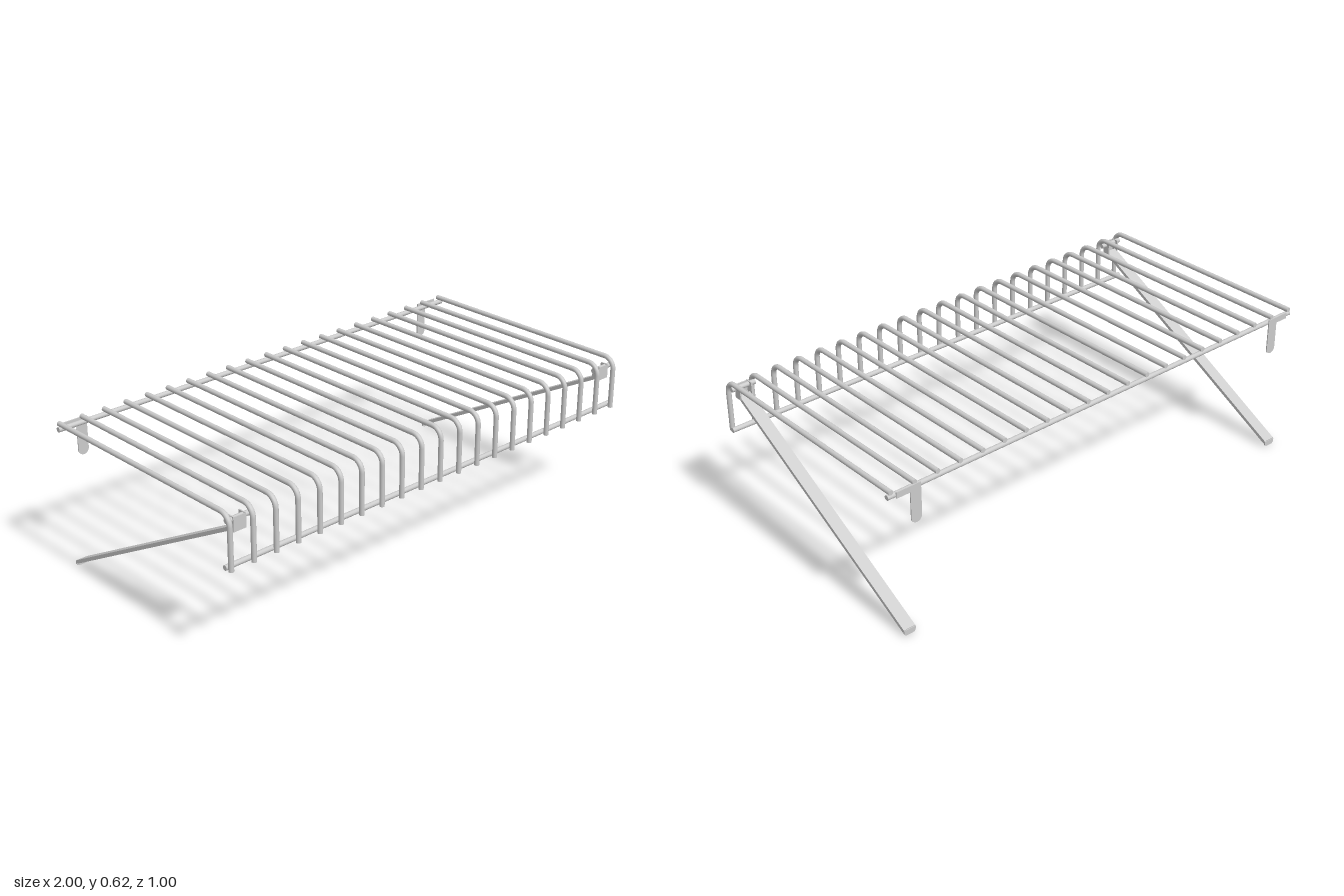
import * as THREE from 'three';
import { mergeGeometries } from 'three/addons/utils/BufferGeometryUtils.js';

const material = new THREE.MeshStandardMaterial({ color: 0xcccccc, side: THREE.DoubleSide });
const R = 0.01; // wire radius

function add(parent, name, geometry, x = 0, y = 0, z = 0) {
  const mesh = new THREE.Mesh(geometry, material);
  mesh.name = name;
  mesh.position.set(x, y, z);
  parent.add(mesh);
  return mesh;
}

// Straight round rod along x
const rodX = (length, radius = R) =>
  new THREE.CylinderGeometry(radius, radius, length, 12).rotateZ(Math.PI / 2);

// Wire in the yz plane: flat top run, quarter bend, short drop at the front
function bentWire() {
  const top = 0.606, front = 0.49, back = -0.493, bottom = 0.396, bend = 0.045;
  const run = front - bend - back;
  const drop = top - bend - bottom;
  return mergeGeometries([
    new THREE.CylinderGeometry(R, R, run, 12).rotateX(Math.PI / 2)
      .translate(0, top, back + run / 2),
    new THREE.TorusGeometry(bend, R, 12, 10, Math.PI / 2).rotateY(-Math.PI / 2)
      .translate(0, top - bend, front - bend),
    new THREE.CylinderGeometry(R, R, drop, 12).translate(0, bottom + drop / 2, front),
  ]);
}

// Thin upright plate with a semicircular lower end, reaching from y = 0 up to height
function tongue(width, height, depth) {
  const r = width / 2;
  const s = new THREE.Shape();
  s.moveTo(r, height);
  s.lineTo(-r, height);
  s.lineTo(-r, r);
  s.absarc(0, r, r, Math.PI, Math.PI * 2, false);
  s.closePath();
  return new THREE.ExtrudeGeometry(s, { depth, bevelEnabled: false, curveSegments: 12 });
}

// Short foot lip with rounded lower corners
function footLip(width, height, depth) {
  const w = width / 2, c = 0.014;
  const s = new THREE.Shape();
  s.moveTo(w, height);
  s.lineTo(-w, height);
  s.lineTo(-w, c);
  s.quadraticCurveTo(-w, 0, -w + c, 0);
  s.lineTo(w - c, 0);
  s.quadraticCurveTo(w, 0, w, c);
  s.closePath();
  return new THREE.ExtrudeGeometry(s, { depth, bevelEnabled: false });
}

function buildLeg(side) {
  const leg = new THREE.Group();
  leg.name = side > 0 ? 'leftLeg' : 'rightLeg';
  const x = side * 0.938;

  // Sloping flat strut
  const a = new THREE.Vector3(x, 0.54, 0.465);
  const b = new THREE.Vector3(x, 0.018, -0.492);
  const strut = add(leg, 'strut', new THREE.BoxGeometry(0.05, 0.014, a.distanceTo(b)));
  strut.position.copy(a).add(b).multiplyScalar(0.5);
  strut.lookAt(a);
  add(leg, 'foot', footLip(0.05, 0.022, 0.006), x, 0, -0.498);

  // Hinge clip wrapped around its pivot rod
  add(leg, 'clipFront', new THREE.BoxGeometry(0.05, 0.055, 0.005), x, 0.558, 0.479);
  add(leg, 'clipBase', new THREE.BoxGeometry(0.05, 0.008, 0.032), x, 0.534, 0.465);
  for (const s of [-1, 1])
    add(leg, 'clipEar', new THREE.BoxGeometry(0.005, 0.057, 0.033), x + s * 0.025, 0.5585, 0.465);
  add(leg, 'pivotRod', rodX(0.1), side * 0.938, 0.575, 0.469);
  return leg;
}

export function createModel() {
  const model = new THREE.Group();
  model.name = 'wireShelf';

  // Parallel bent wires
  const wires = new THREE.Group();
  wires.name = 'deckWires';
  model.add(wires);
  const wireGeometry = bentWire();
  for (let i = -10; i <= 10; i++) add(wires, 'deckWire', wireGeometry, i * 0.0988);

  // Long cross rods
  add(model, 'backRod', rodX(2), 0, 0.587, -0.484);
  add(model, 'frontLowerRod', rodX(2), 0, 0.406, 0.471);

  // Mirrored legs and rear hanging tabs
  for (const side of [-1, 1]) {
    model.add(buildLeg(side));
    add(model, 'rearTab', tongue(0.045, 0.152, 0.004), side * 0.89, 0.45, -0.499);
    add(model, 'rearTabArm', new THREE.BoxGeometry(0.1, 0.024, 0.004), side * 0.92, 0.59, -0.497);
  }
  return model;
}
